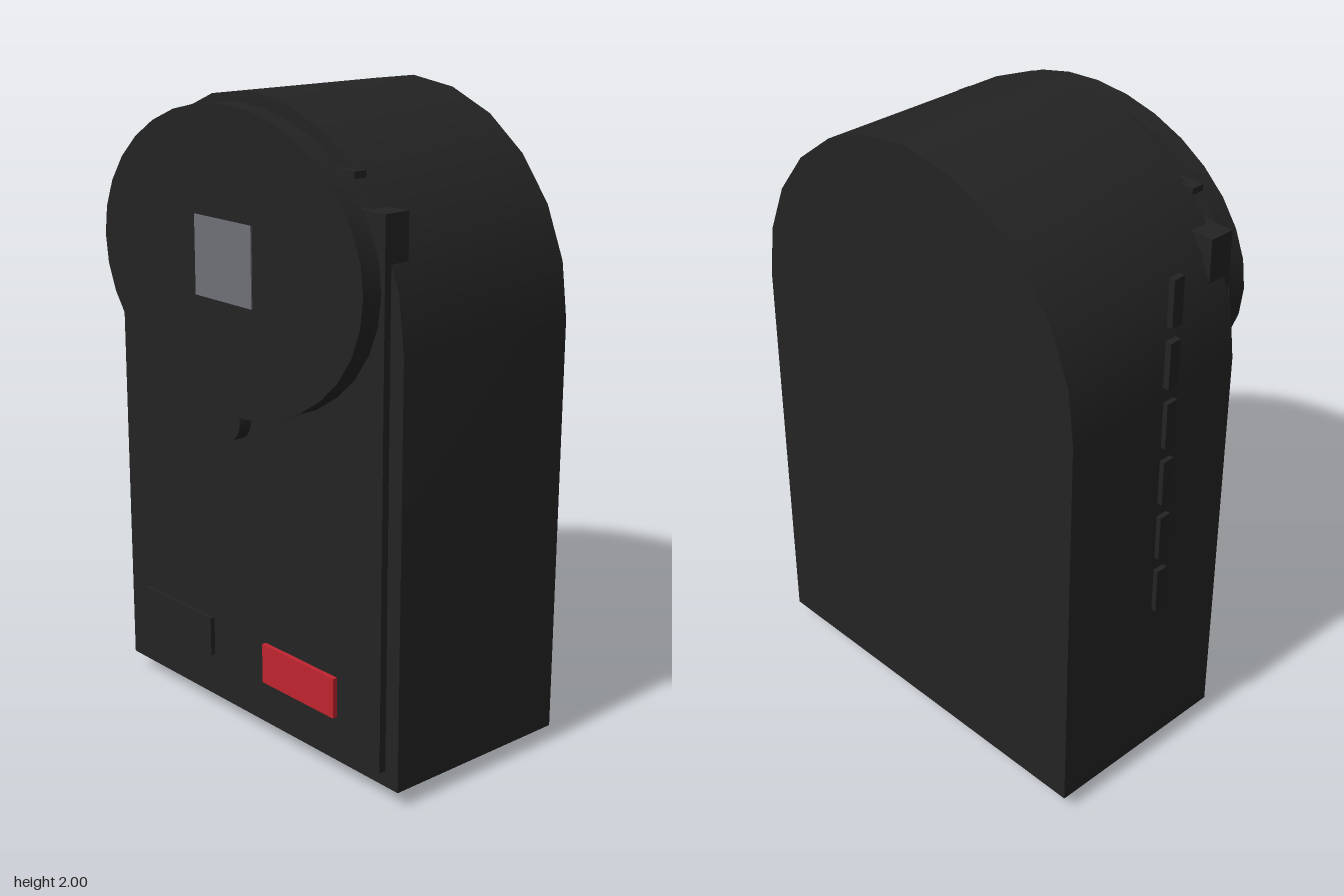
import * as THREE from 'three';
import { toCreasedNormals } from 'three/addons/utils/BufferGeometryUtils.js';

export function createModel() {
  const model = new THREE.Group();
  const black = new THREE.MeshStandardMaterial({ color: 0x232323 });
  black.name = 'black casing';
  const red = new THREE.MeshStandardMaterial({ color: 0xc0242f });
  red.name = 'red button';
  const grey = new THREE.MeshStandardMaterial({ color: 0x6e7076 });
  grey.name = 'grey window';

  const add = (name, geometry, material) => {
    const mesh = new THREE.Mesh(geometry, material);
    mesh.name = name;
    model.add(mesh);
    return mesh;
  };
  // Box given by its minimum and maximum on each axis
  const box = (name, [x0, x1], [y0, y1], [z0, z1], material = black) =>
    add(name, new THREE.BoxGeometry(x1 - x0, y1 - y0, z1 - z0), material)
      .position.set((x0 + x1) / 2, (y0 + y1) / 2, (z0 + z1) / 2);

  const cx = 0.005;

  // Arched casing
  const arch = new THREE.Shape();
  arch.moveTo(cx - 0.65, 0.05);
  arch.lineTo(cx + 0.65, 0.05);
  for (let i = 0; i <= 12; i++) {
    const a = (i / 12) * Math.PI;
    arch.lineTo(cx + 0.65 * Math.cos(a), 1.35 + 0.65 * Math.sin(a));
  }
  arch.closePath();
  const casing = new THREE.ExtrudeGeometry(arch, { depth: 0.65, bevelEnabled: false });
  casing.translate(0, 0, -0.377);
  add('casing', toCreasedNormals(casing, 0.6), black);

  // Front panel, whose upper corners stand out of the arch, and the hinge bar
  box('frontPanel', [-0.592, 0.602], [0.1, 1.73], [0.21, 0.296]);
  box('hingeBar', [-0.475, 0.482], [1.808, 1.828], [0.255, 0.298]);

  // Oval lid with a thumb tab and a window
  const lid = new THREE.CylinderGeometry(1, 1, 0.065, 32);
  lid.rotateX(Math.PI / 2).scale(0.595, 0.455, 1);
  add('lid', toCreasedNormals(lid, 0.6), black).position.set(cx, 1.515, 0.339);
  const tab = new THREE.CylinderGeometry(0.066, 0.066, 0.042, 20);
  tab.rotateX(Math.PI / 2);
  add('lidTab', tab, black).position.set(cx, 1.047, 0.351);
  box('window', [-0.125, 0.135], [1.402, 1.642], [0.37, 0.376], grey);

  // Two buttons standing off the panel
  box('darkButton', [-0.45, -0.105], [0.245, 0.37], [0.344, 0.359]);
  box('redButton', [0.148, 0.47], [0.245, 0.37], [0.344, 0.359], red);

  // Row of slats along one side
  for (let i = 0; i < 6; i++) {
    const y = 0.59 + i * 0.196;
    box('sideSlat', [-0.661, -0.641], [y, y + 0.15], [-0.02, 0.02]);
  }

  // Feet
  for (const x of [-0.485, 0.28]) box('foot', [x, x + 0.215], [0, 0.06], [-0.21, 0.11]);

  return model;
}
